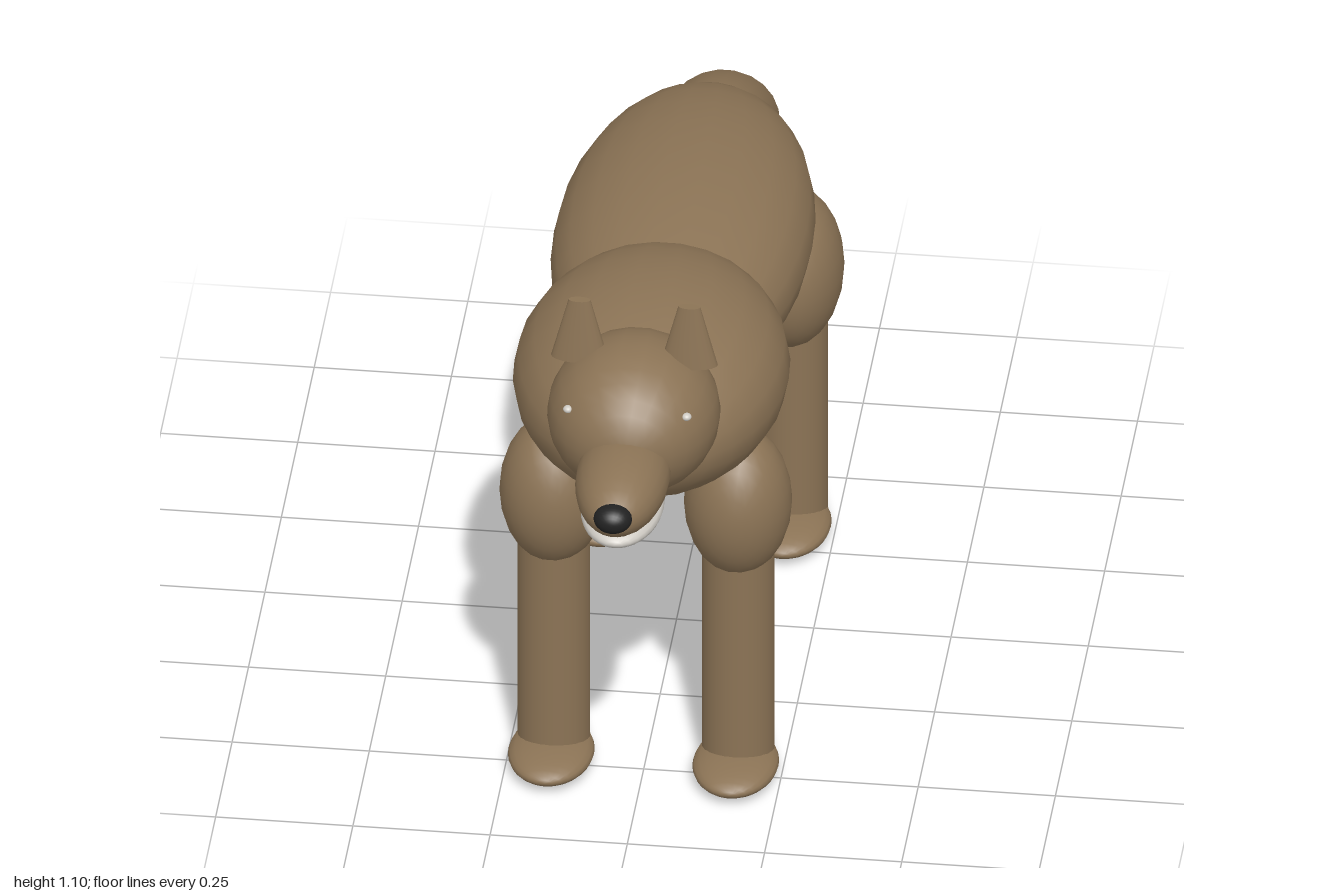
import * as THREE from 'three';

export function createModel() {
  const fur = new THREE.MeshStandardMaterial({ color: 0x8b7355 });
  fur.name = 'brownFur';
  const pale = new THREE.MeshStandardMaterial({ color: 0xcfcbc4 });
  pale.name = 'paleFur';
  const black = new THREE.MeshStandardMaterial({ color: 0x222222 });
  black.name = 'blackNose';

  const model = new THREE.Group();
  model.name = 'fox';

  function add(name, geometry, material, position, scale = [1, 1, 1]) {
    const mesh = new THREE.Mesh(geometry, material);
    mesh.name = name;
    mesh.position.set(...position);
    mesh.scale.set(...scale);
    model.add(mesh);
    return mesh;
  }

  // Ellipsoid given by centre and radii, poles along z
  const ball = new THREE.SphereGeometry(1, 22, 16).rotateX(Math.PI / 2);
  const ellipsoid = (name, material, position, radii) => add(name, ball, material, position, radii);

  // Trunk
  ellipsoid('body', fur, [0, 0.755, -0.1], [0.235, 0.155, 0.47]);
  ellipsoid('chest', fur, [0, 0.785, 0.38], [0.25, 0.175, 0.33]);
  ellipsoid('belly', pale, [0, 0.7, 0.1], [0.165, 0.105, 0.45]);

  // Head
  ellipsoid('head', fur, [0, 0.87, 0.65], [0.157, 0.145, 0.17]);
  ellipsoid('snout', fur, [0, 0.835, 0.815], [0.085, 0.07, 0.17]);
  ellipsoid('jaw', pale, [0, 0.777, 0.82], [0.075, 0.031, 0.135]);
  ellipsoid('nose', black, [0, 0.845, 0.97], [0.035, 0.027, 0.03]);

  // Tail slopes down and back, with a pale tip
  const slope = -0.57;
  ellipsoid('tail', fur, [0, 0.618, -0.71], [0.1, 0.092, 0.26]).rotation.x = slope;
  ellipsoid('tailTip', pale, [0, 0.47, -0.927], [0.058, 0.058, 0.08]).rotation.x = slope;

  // Paired parts: ears, eyes and legs
  const earCone = new THREE.CylinderGeometry(0.02, 0.052, 0.122, 20);
  const shaft = new THREE.CylinderGeometry(0.066, 0.066, 0.47, 24);
  const legs = [
    { name: 'front', thigh: [0.575, 0.468], radii: [0.098, 0.147, 0.104], shin: 0.463, paw: 0.503 },
    { name: 'rear', thigh: [0.566, -0.323], radii: [0.098, 0.153, 0.132], shin: -0.347, paw: -0.296 },
  ];
  for (const [side, s] of [['Left', 1], ['Right', -1]]) {
    add('ear' + side, earCone, fur, [s * 0.1, 1.036, 0.64], [1, 1, 0.46]);
    ellipsoid('eye' + side, pale, [s * 0.108, 0.931, 0.75], [0.009, 0.007, 0.009]);
    for (const leg of legs) {
      ellipsoid(leg.name + 'Thigh' + side, fur, [s * 0.168, ...leg.thigh], leg.radii);
      add(leg.name + 'Shin' + side, shaft, fur, [s * 0.168, 0.265, leg.shin]);
      ellipsoid(leg.name + 'Paw' + side, fur, [s * 0.168, 0.029, leg.paw], [0.078, 0.029, 0.111]);
    }
  }
  return model;
}
